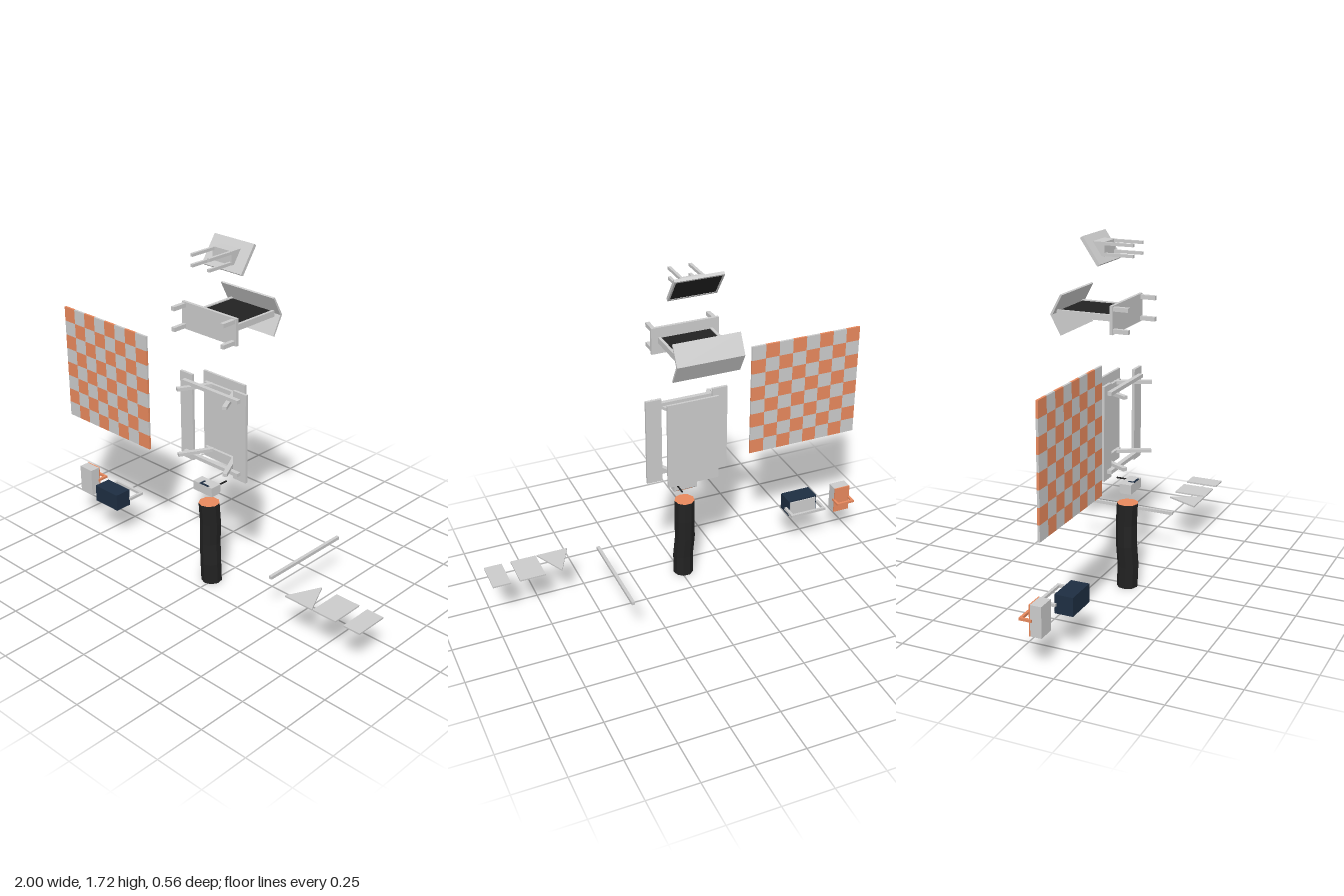
import * as THREE from 'three';

const mat = (color) => new THREE.MeshStandardMaterial({ color, flatShading: true });
const grey = mat(0xcccccc), orange = mat(0xe8895d), black = mat(0x222222), navy = mat(0x1e2e42);

export function createModel() {
  const root = new THREE.Group();
  const group = (name) => {
    const g = new THREE.Group();
    g.name = name;
    root.add(g);
    return g;
  };
  const add = (parent, name, geo, material = grey) => {
    const m = new THREE.Mesh(geo, material);
    m.name = name;
    parent.add(m);
    return m;
  };
  // box given by its extents on each axis
  const box = (parent, name, [x0, x1], [y0, y1], [z0, z1], material = grey) => {
    const m = add(parent, name, new THREE.BoxGeometry(x1 - x0, y1 - y0, z1 - z0), material);
    m.position.set((x0 + x1) / 2, (y0 + y1) / 2, (z0 + z1) / 2);
    return m;
  };
  // square bar between two points
  const bar = (parent, name, a, b, w, h = w, material = grey) => {
    const p = new THREE.Vector3(...a), q = new THREE.Vector3(...b);
    const m = add(parent, name, new THREE.BoxGeometry(w, h, p.distanceTo(q)), material);
    m.position.copy(p).lerp(q, 0.5);
    m.lookAt(q);
    return m;
  };
  // prism along x from a profile of (z, y) points
  const prismX = (parent, name, points, x0, x1, material = grey) => {
    const shape = new THREE.Shape(points.map(([z, y]) => new THREE.Vector2(-z, y)));
    const geo = new THREE.ExtrudeGeometry(shape, { depth: x1 - x0, bevelEnabled: false });
    geo.rotateY(Math.PI / 2).translate(x0, 0, 0);
    return add(parent, name, geo, material);
  };
  const cx = -0.0245; // shared axis of the central stack

  // log: slightly bent trunk with cut ends
  const trunk = new THREE.CylinderGeometry(0.052, 0.052, 0.435, 9, 4);
  const pos = trunk.attributes.position;
  for (let i = 0; i < pos.count; i++) {
    const t = pos.getY(i) / 0.435 + 0.5;
    pos.setX(i, pos.getX(i) - 0.011 * t + 0.003 * Math.sin(t * 9));
    pos.setZ(i, pos.getZ(i) + 0.004 * Math.sin(t * 7));
  }
  trunk.computeVertexNormals();
  add(group('log'), 'trunk', trunk, [black, orange, orange]).position.set(-0.016, 0.2195, 0.154);

  // small box with a thin pin
  const lockBox = group('pinBox');
  prismX(lockBox, 'body', [[0.2, 0.503], [0.2, 0.55], [0.14, 0.55], [0.14, 0.512], [0.15, 0.503]], -0.088, 0.035);
  box(lockBox, 'bottomInset', [-0.07, 0.015], [0.5, 0.504], [0.152, 0.17], orange);
  box(lockBox, 'slot', [-0.047, -0.037], [0.549, 0.552], [0.167, 0.2], navy);
  box(lockBox, 'slotFoot', [-0.037, 0.01], [0.549, 0.552], [0.19, 0.2], navy);
  box(lockBox, 'pin', [0.015, 0.021], [0.535, 0.541], [0.08, 0.14], black);

  // picnic table on its side: top faces back, feet point forward
  const table = group('picnicTable');
  for (let i = 0; i < 3; i++) {
    const x = cx - 0.1335 + i * 0.089;
    box(table, 'topPlank', [x, x + 0.089], [0.607, 1.06], [0.04, 0.052]);
  }
  for (const s of [-1, 1]) {
    const mid = cx + s * 0.173;
    box(table, 'seat', [mid - 0.04, mid + 0.04], [0.607, 1.06], [0.116, 0.13]);
  }
  for (const s of [-1, 1]) {
    const yc = 0.833;
    const legY = yc + s * 0.172, beamY = yc + s * 0.188;
    for (const m of [-1, 1]) {
      bar(table, 'leg', [cx + m * 0.07, legY, 0.052], [cx + m * 0.155, legY, 0.21], 0.022, 0.016);
    }
    box(table, 'seatBeam', [cx - 0.18, cx + 0.18], [beamY - 0.009, beamY + 0.009], [0.13, 0.152]);
    box(table, 'topBeam', [cx - 0.115, cx + 0.115], [legY - 0.007, legY + 0.007], [0.052, 0.066]);
  }

  // checkered board, 8 by 8 tiles
  const board = group('checkeredBoard');
  for (let r = 0; r < 8; r++) {
    for (let c = 0; c < 8; c++) {
      const x = -1 + c * 0.075, y = 1.13 - r * 0.075;
      box(board, 'tile', [x, x + 0.075], [y, y + 0.075], [0.184, 0.195], (r + c) % 2 ? grey : orange);
    }
  }

  // U-shaped handle lying in a horizontal plane
  const handle = (parent, x0, x1, z0, z1, w, material) => {
    const y = [0.23 - w / 2, 0.23 + w / 2];
    box(parent, 'handleArm', [x0, x0 + w], y, [z0, z1], material);
    box(parent, 'handleArm', [x1 - w, x1], y, [z0, z1], material);
    box(parent, 'handleGrip', [x0 + w, x1 - w], y, [z0, z0 + w], material);
  };

  // upright case with coloured back and handle
  const caseGroup = group('uprightCase');
  box(caseGroup, 'body', [-0.97, -0.882], [0.157, 0.302], [0.127, 0.18]);
  box(caseGroup, 'backPlate', [-0.97, -0.882], [0.157, 0.302], [0.121, 0.127], orange);
  handle(caseGroup, -0.976, -0.876, 0.075, 0.135, 0.012, orange);

  // wide dark case with pale back and handle
  const wide = group('wideCase');
  box(wide, 'body', [-0.783, -0.62], [0.186, 0.275], [0.146, 0.235], navy);
  box(wide, 'backPlate', [-0.776, -0.627], [0.193, 0.268], [0.14, 0.146]);
  handle(wide, -0.8, -0.6, 0.07, 0.157, 0.014, grey);

  // long stick
  box(group('stick'), 'rod', [0.417, 0.433], [0.222, 0.238], [-0.285, 0.213]);

  // flat pieces: triangle and two rectangles
  const flats = group('flatPieces');
  const tri = new THREE.Shape([[0.57, -0.275], [0.73, -0.275], [0.65, -0.107]].map((p) => new THREE.Vector2(...p)));
  const triGeo = new THREE.ExtrudeGeometry(tri, { depth: 0.008, bevelEnabled: false }).rotateX(-Math.PI / 2);
  add(flats, 'triangle', triGeo).position.y = 0.221;
  box(flats, 'wideRectangle', [0.735, 0.865], [0.221, 0.229], [0.105, 0.275]);
  box(flats, 'narrowRectangle', [0.91, 1], [0.221, 0.229], [0.105, 0.275]);

  // roofed stand on its side: base panel with feet, framed tray, folded roof
  const stand = group('roofedStand');
  box(stand, 'basePanel', [cx - 0.171, cx + 0.171], [1.293, 1.425], [0.135, 0.15]);
  for (const x of [cx - 0.155, cx + 0.155]) {
    for (const y of [1.309, 1.41]) box(stand, 'foot', [x - 0.01, x + 0.01], [y - 0.01, y + 0.01], [0.15, 0.224]);
  }
  for (const x of [cx - 0.131, cx + 0.131]) box(stand, 'sideRail', [x - 0.007, x + 0.007], [1.347, 1.377], [-0.145, 0.135]);
  box(stand, 'darkPanel', [cx - 0.124, cx + 0.124], [1.352, 1.372], [-0.14, 0.135], black);
  prismX(stand, 'roof', [
    [-0.112, 1.456], [-0.164, 1.36], [-0.112, 1.264], [-0.122, 1.26], [-0.122, 1.26],
  ].slice(0, 3).concat([[-0.104, 1.268], [-0.152, 1.36], [-0.104, 1.452]]), cx - 0.167, cx + 0.167);

  // tilted panel on a wedge with four legs, dark framed back
  const easel = group('tiltedPanel');
  const slab = new THREE.Group();
  slab.name = 'panel';
  slab.position.set(cx, 1.655, 0.018);
  slab.rotation.x = -0.605;
  easel.add(slab);
  box(slab, 'frontBoard', [-0.122, 0.122], [-0.075, 0.075], [-0.004, 0.006]);
  box(slab, 'darkBack', [-0.113, 0.113], [-0.066, 0.066], [-0.008, -0.004], black);
  for (const s of [-1, 1]) {
    box(slab, 'frameSide', [s * 0.1175 - 0.0045, s * 0.1175 + 0.0045], [-0.075, 0.075], [-0.01, -0.004]);
    box(slab, 'frameEdge', [-0.113, 0.113], [s * 0.0705 - 0.0045, s * 0.0705 + 0.0045], [-0.01, -0.004]);
  }
  prismX(easel, 'wedge', [[0.06, 1.625], [0.06, 1.69], [-0.004, 1.69], [0.04, 1.625]], cx - 0.06, cx + 0.06);
  for (const x of [cx - 0.052, cx + 0.052]) {
    for (const y of [1.633, 1.682]) box(easel, 'leg', [x - 0.007, x + 0.007], [y - 0.007, y + 0.007], [0.06, 0.2]);
  }
  return root;
}
